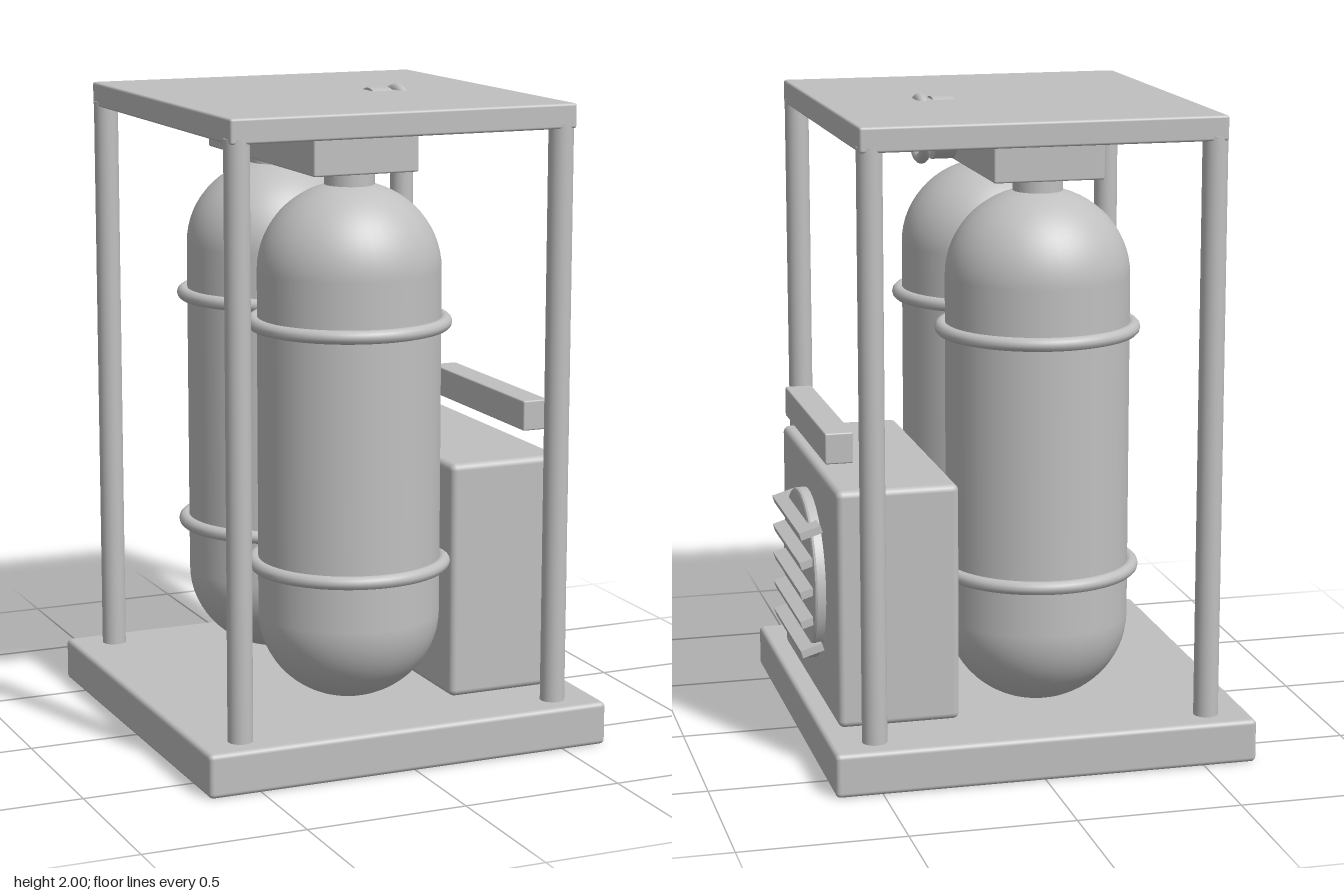
import * as THREE from 'three';
import { RoundedBoxGeometry } from 'three/addons/geometries/RoundedBoxGeometry.js';

export function createModel() {
  const model = new THREE.Group();
  model.name = 'tankRack';
  const grey = new THREE.MeshStandardMaterial({ color: 0xc0c0c0 });
  grey.name = 'light grey';

  const add = (name, geometry, x, y, z, parent = model) => {
    const mesh = new THREE.Mesh(geometry, grey);
    mesh.name = name;
    mesh.position.set(x, y, z);
    parent.add(mesh);
    return mesh;
  };
  // Rounded box given by its limits in x and y and its half depth in z
  const block = (name, x0, x1, y0, y1, halfZ, radius) =>
    add(name, new RoundedBoxGeometry(x1 - x0, y1 - y0, halfZ * 2, 3, radius),
      (x0 + x1) / 2, (y0 + y1) / 2, 0);

  // Frame: base, roof and four posts
  block('base', -0.665, 0.643, 0, 0.135, 0.663, 0.015);
  block('roof', -0.563, 0.541, 1.905, 1.98, 0.6, 0.008);
  const postGeometry = new THREE.CylinderGeometry(0.038, 0.038, 1.8, 32);
  for (const x of [-0.531, 0.506]) {
    for (const z of [-0.565, 0.565]) add('post', postGeometry, x, 1.02, z);
  }

  // Two upright tanks, each with a neck and two clamp rings
  const tankGeometry = new THREE.CapsuleGeometry(0.267, 1.061, 16, 48);
  const neckGeometry = new THREE.CylinderGeometry(0.076, 0.076, 0.12, 32);
  const ringGeometry = new THREE.TorusGeometry(0.291, 0.021, 12, 64).rotateX(Math.PI / 2);
  for (const z of [-0.298, 0.298]) {
    const tank = new THREE.Group();
    tank.name = 'tank';
    tank.position.set(-0.064, 0, z);
    model.add(tank);
    add('tankBody', tankGeometry, 0, 0.948, 0, tank).scale.x = 1.05;
    add('tankNeck', neckGeometry, 0, 1.75, 0, tank);
    for (const y of [0.577, 1.32]) {
      add('clampRing', ringGeometry, 0, y, 0, tank).scale.z = 0.98;
    }
  }

  // Manifold under the roof, with a valve and its hand wheel
  block('manifold', -0.235, 0.104, 1.778, 1.91, 0.43, 0.006);
  add('valve', new THREE.CylinderGeometry(0.096, 0.096, 0.066, 40).rotateZ(Math.PI / 2),
    0.163, 1.892, 0);
  add('handWheel', new THREE.TorusGeometry(0.09, 0.018, 12, 48).rotateY(Math.PI / 2),
    0.228, 1.89, 0);

  // Blower unit with a floating bar above it
  block('blowerHousing', 0.215, 0.59, 0.14, 0.877, 0.446, 0.02);
  block('handleBar', 0.514, 0.6, 0.935, 1.03, 0.332, 0.005);

  // Round vent with softened rim
  const rim = [[0, -0.03], [0.267, -0.03], [0.267, 0.026], [0.264, 0.032], [0.257, 0.035], [0, 0.035]]
    .map(([r, h]) => new THREE.Vector2(r, h));
  // Each straight step is its own lathe so the edges stay sharp
  const vent = new THREE.Group();
  vent.name = 'vent';
  vent.position.set(0.59, 0.508, 0);
  vent.rotation.z = -Math.PI / 2;
  model.add(vent);
  for (let i = 0; i < rim.length - 1; i++) {
    add('ventDisc', new THREE.LatheGeometry([rim[i], rim[i + 1]], 56), 0, 0, 0, vent);
  }

  // Tilted louvre slats
  const slatGeometry = new THREE.BoxGeometry(0.07, 0.024, 0.466);
  for (let i = 0; i < 5; i++) {
    add('slat', slatGeometry, 0.628, 0.324 + i * 0.0935, 0).rotation.z = -0.3;
  }
  return model;
}
